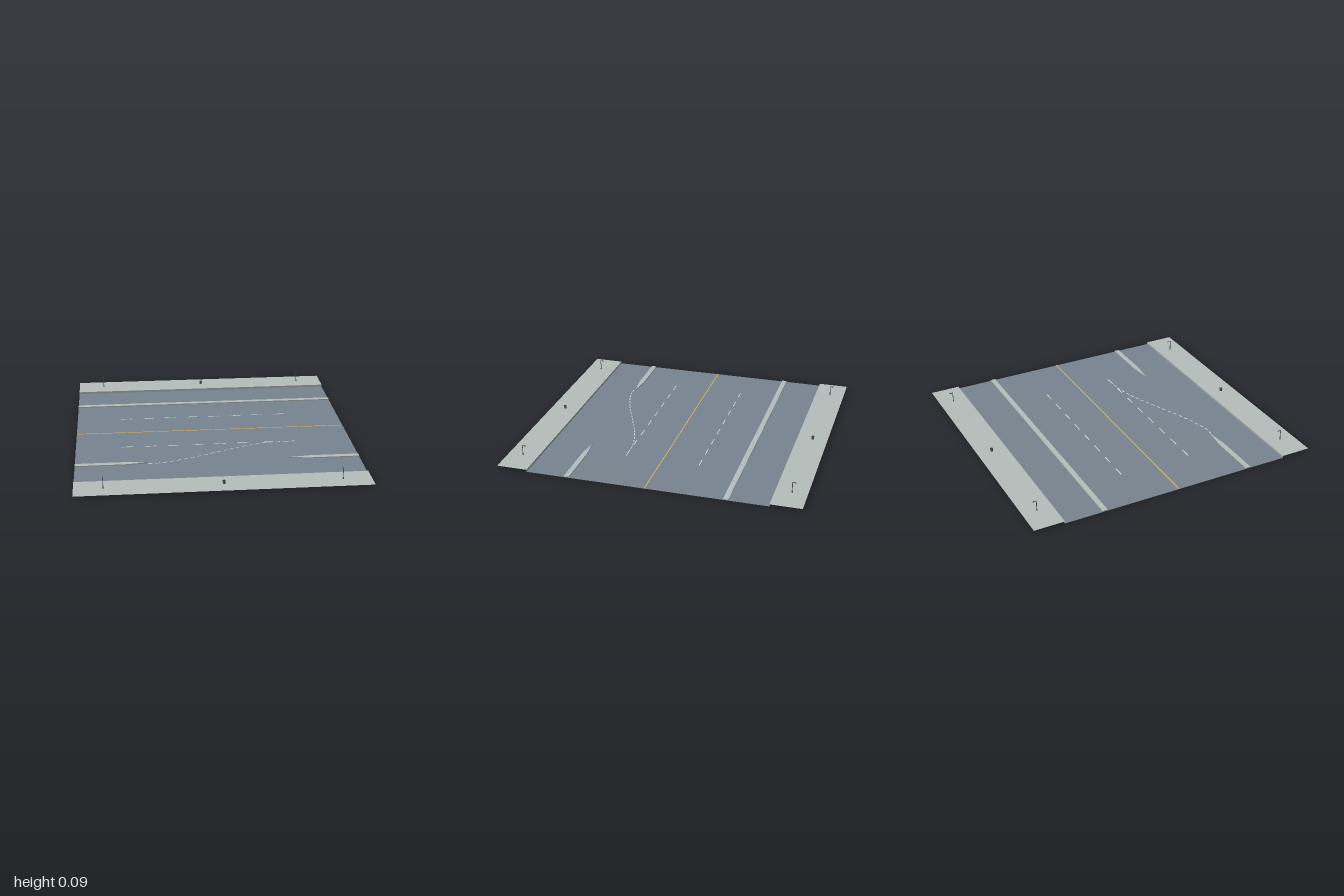
import * as THREE from 'three';

const flat = (name, color) =>
  Object.assign(new THREE.MeshStandardMaterial({ color, side: THREE.DoubleSide }), { name });

export function createModel() {
  const asphalt = flat('asphalt', 0x77838f);
  const concrete = flat('concrete', 0xb5bebb);
  const curbGrey = flat('curb grey', 0x9aa19f);
  const whitePaint = flat('white paint', 0xd6dedc);
  const yellowPaint = flat('yellow paint', 0xd2ae62);
  const metal = flat('dark metal', 0x4b5254);

  const W = 0.935, CURB = 0.795, WALK_Y = 0.015, MEDIAN_Y = 0.007;
  const IN = 0.505, OUT = 0.54, MID = 0.5225; // median edges and tip
  const model = new THREE.Group();

  const add = (parent, name, geometry, material, x = 0, y = 0, z = 0) => {
    const mesh = new THREE.Mesh(geometry, material);
    mesh.name = name;
    mesh.position.set(x, y, z);
    parent.add(mesh);
    return mesh;
  };
  // outline given as [x, z] pairs, laid flat on the ground
  const outline = (pts) => new THREE.Shape(pts.map(([x, z]) => new THREE.Vector2(x, -z)));
  const sheet = (pts) => new THREE.ShapeGeometry(outline(pts)).rotateX(-Math.PI / 2);
  const slab = (pts, depth) =>
    new THREE.ExtrudeGeometry(outline(pts), { depth, bevelEnabled: false }).rotateX(-Math.PI / 2);
  const rect = (z0, z1) => [[-W, z0], [W, z0], [W, z1], [-W, z1]];

  // Road, cut away beneath the medians
  add(model, 'backLane', sheet(rect(-CURB, -OUT)), asphalt);
  add(model, 'mainRoad', sheet([
    [-W, -IN], [W, -IN], [W, IN], [0.61, IN], [0.46, MID], [0.61, OUT], [W, OUT], [W, CURB],
    [-W, CURB], [-W, OUT], [-0.61, OUT], [-0.46, MID], [-0.61, IN], [-W, IN],
  ]), asphalt);

  // Medians: one continuous, two with tapered ends
  const median = (name, pts) => add(model, name, slab(pts, MEDIAN_Y), [concrete, curbGrey]);
  median('backMedian', rect(-OUT, -IN));
  for (const s of [-1, 1]) {
    median(s < 0 ? 'frontMedianRight' : 'frontMedianLeft',
      [[s * W, IN], [s * 0.61, IN], [s * 0.46, MID], [s * 0.61, OUT], [s * W, OUT]]);
  }

  // Pavements with curbs and street furniture
  for (const s of [-1, 1]) {
    const side = new THREE.Group();
    side.name = s < 0 ? 'backPavement' : 'frontPavement';
    model.add(side);
    add(side, 'pavement', sheet(rect(s * CURB, s)), concrete, 0, WALK_Y);
    add(side, 'curb', new THREE.PlaneGeometry(2 * W, WALK_Y), curbGrey, 0, WALK_Y / 2, s * CURB);
    const bin = new THREE.CylinderGeometry(0.01, 0.008, 0.022, 12, 1, true);
    add(side, 'litterBin', bin, metal, 0, WALK_Y + 0.011, s * 0.9);

    for (const x of [-0.75, 0.75]) {
      const lamp = new THREE.Group();
      lamp.name = 'streetLamp';
      lamp.position.set(x, WALK_Y, s * 0.9);
      side.add(lamp);
      add(lamp, 'lampBase', new THREE.CylinderGeometry(0.004, 0.005, 0.008, 8), metal, 0, 0.004);
      add(lamp, 'lampPole', new THREE.CylinderGeometry(0.002, 0.0025, 0.07, 8), metal, 0, 0.035);
      add(lamp, 'lampArm', new THREE.BoxGeometry(0.003, 0.003, 0.024), metal, 0, 0.069, -0.011);
      add(lamp, 'lampHead', new THREE.BoxGeometry(0.006, 0.003, 0.01), metal, 0, 0.0675, -0.019);
    }
  }

  // Centre line
  add(model, 'centreLine', new THREE.BoxGeometry(2 * W, 0.002, 0.008), yellowPaint, 0, 0.002);

  // Straight lane dashes
  const dash = new THREE.BoxGeometry(0.078, 0.002, 0.006);
  for (const z of [-0.25, 0.25]) {
    for (let i = 0; i < 8; i++) {
      add(model, 'laneDash', dash, whitePaint, -0.588 + i * 0.157, 0.002, z);
    }
  }

  // Dashes sweeping from the median gap to the inner lane
  const path = new THREE.CatmullRomCurve3([
    [-0.47, 0.53], [-0.4, 0.533], [-0.2, 0.477], [0, 0.393], [0.2, 0.308], [0.36, 0.262], [0.46, 0.25],
  ].map(([x, z]) => new THREE.Vector3(x, 0.003, z)));
  const shortDash = new THREE.BoxGeometry(0.028, 0.002, 0.006);
  const count = 20;
  for (let i = 0; i < count; i++) {
    const u = (i + 0.5) / count;
    const p = path.getPointAt(u), t = path.getTangentAt(u);
    add(model, 'turnDash', shortDash, whitePaint, p.x, p.y, p.z).rotation.y = Math.atan2(-t.z, t.x);
  }

  return model;
}
